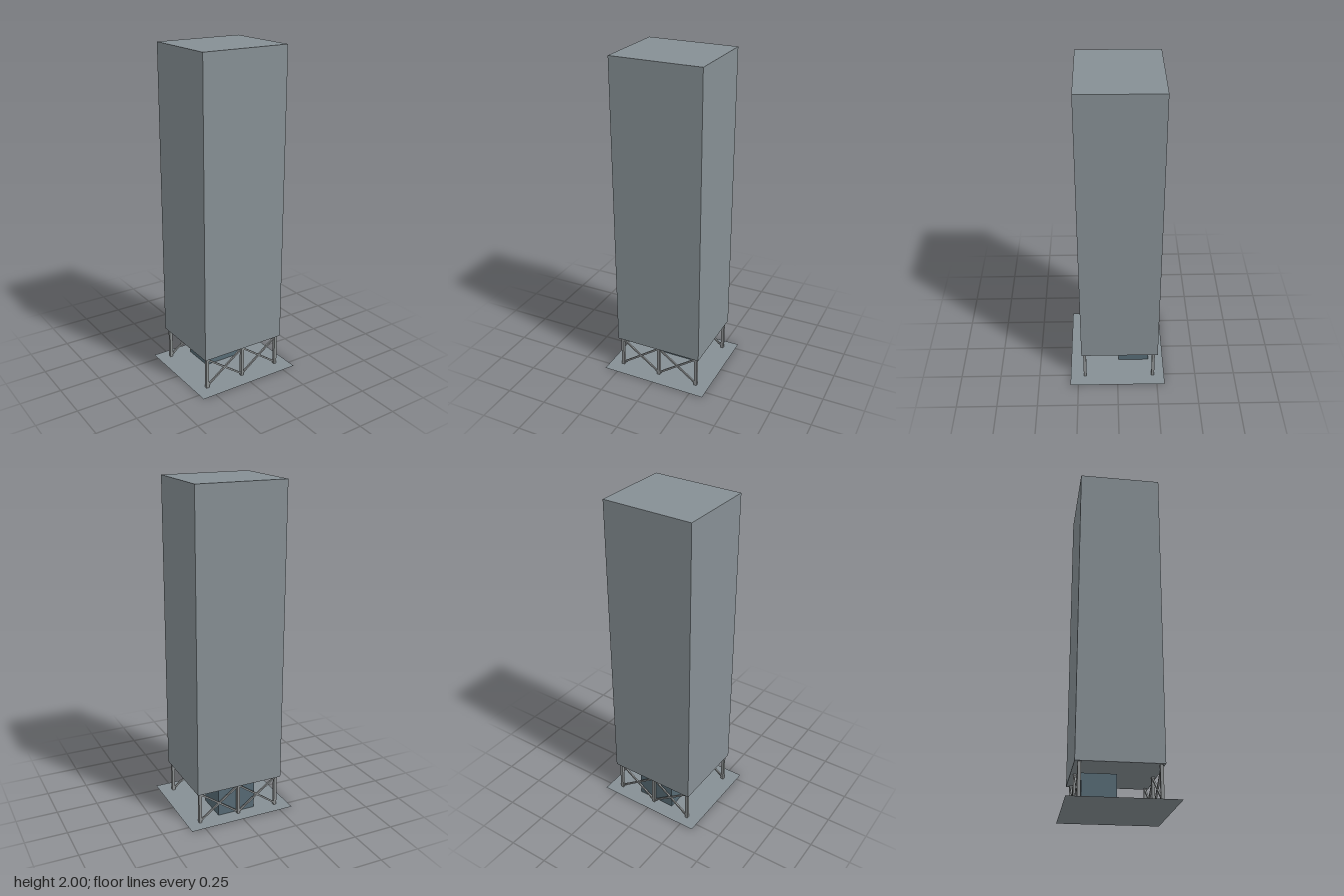
import * as THREE from 'three';

export function createModel() {
  const model = new THREE.Group();
  model.name = 'towerOnStilts';

  const mat = (name, color, side = THREE.FrontSide) => {
    const m = new THREE.MeshStandardMaterial({ color, side });
    m.name = name;
    return m;
  };
  const facadeGrey = mat('facadeGrey', 0x868f94, THREE.DoubleSide);
  const steelGrey = mat('steelGrey', 0x8c9091);
  const slateBlue = mat('slateBlue', 0x566a74);

  // Box given by its minimum and maximum corners
  const box = (name, material, min, max, parent = model) => {
    const size = max.map((v, i) => v - min[i]);
    const mesh = new THREE.Mesh(new THREE.BoxGeometry(...size), material);
    mesh.position.set(...max.map((v, i) => (v + min[i]) / 2));
    mesh.name = name;
    parent.add(mesh);
    return mesh;
  };

  // Flat ground slab
  const slab = new THREE.Mesh(new THREE.PlaneGeometry(0.67, 0.6), facadeGrey);
  slab.rotation.x = -Math.PI / 2;
  slab.name = 'groundSlab';
  model.add(slab);

  // Tower body and the enclosed core beneath it
  box('towerBody', facadeGrey, [-0.275, 0.2, -0.253], [0.275, 2, 0.227]);
  box('entranceCore', slateBlue, [-0.12, 0.002, -0.203], [0.12, 0.178, -0.01]);

  // Front and back trusses: three columns with crossed braces between them
  const bay = 0.252, low = 0.012, high = 0.192;
  for (const [name, z] of [['frontTruss', 0.207], ['backTruss', -0.227]]) {
    const truss = new THREE.Group();
    truss.name = name;
    truss.position.z = z;
    for (const x of [-bay, 0, bay]) {
      box('column', steelGrey, [x - 0.009, 0.002, -0.009], [x + 0.009, 0.2, 0.009], truss);
    }
    const rise = high - low;
    for (const x of [-bay / 2, bay / 2]) {
      for (const dir of [-1, 1]) {
        const brace = new THREE.Mesh(
          new THREE.BoxGeometry(Math.hypot(bay, rise), 0.01, 0.01), steelGrey);
        brace.position.set(x, (low + high) / 2, 0);
        brace.rotation.z = dir * Math.atan2(rise, bay);
        brace.name = 'brace';
        truss.add(brace);
      }
    }
    model.add(truss);
  }
  return model;
}
